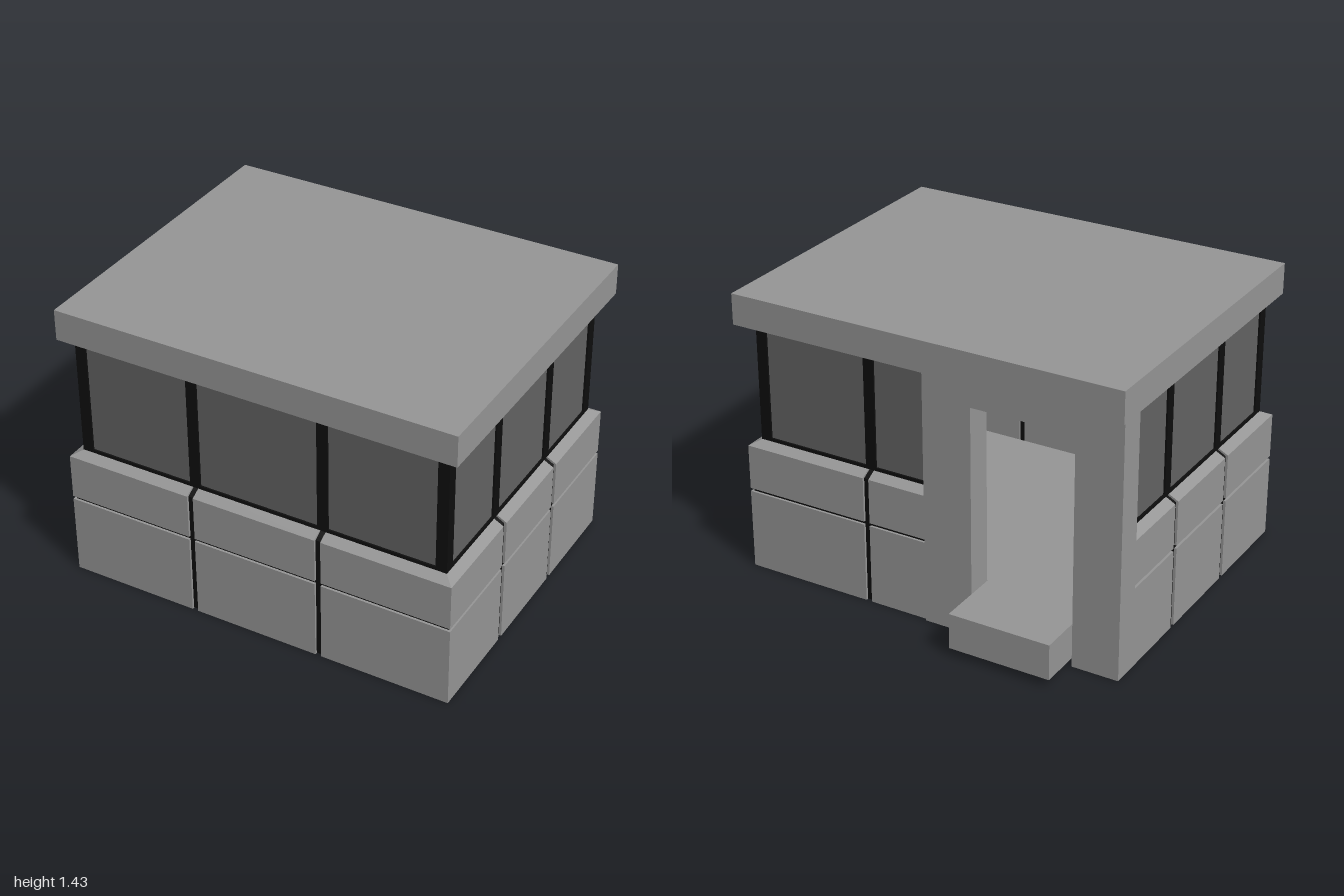
import * as THREE from 'three';

const wallMat = new THREE.MeshStandardMaterial({ color: 0x969696 });
wallMat.name = 'concrete grey';
const glassMat = new THREE.MeshStandardMaterial({ color: 0x636363 });
glassMat.name = 'tinted glass';
const blackMat = new THREE.MeshStandardMaterial({ color: 0x0e0e0e });
blackMat.name = 'black trim';

// Straight wall piece: convex profile of [inset, y] swept from u = a to u = b.
// ma / mb = 1 mitres that end at 45 degrees.
function prism(profile, outer, a, b, ma = 0, mb = 0) {
  const A = profile.map(([d, y]) => [a + ma * d, y, outer - d]);
  const B = profile.map(([d, y]) => [b - mb * d, y, outer - d]);
  const pos = [];
  const tri = (...pts) => pts.forEach((p) => pos.push(...p));
  const n = profile.length;
  for (let i = 0; i < n; i++) {
    const j = (i + 1) % n;
    tri(A[i], A[j], B[j]);
    tri(A[i], B[j], B[i]);
    if (i > 0 && i < n - 1) {
      tri(B[0], B[i], B[j]);
      tri(A[0], A[j], A[i]);
    }
  }
  const g = new THREE.BufferGeometry();
  g.setAttribute('position', new THREE.Float32BufferAttribute(pos, 3));
  g.computeVertexNormals();
  return g;
}

const rect = (d0, d1, y0, y1) => [[d0, y0], [d1, y0], [d1, y1], [d0, y1]];

function add(parent, name, geometry, material) {
  const mesh = new THREE.Mesh(geometry, material);
  mesh.name = name;
  parent.add(mesh);
}

function addBox(parent, name, material, x0, x1, y0, y1, z0, z1) {
  const g = new THREE.BoxGeometry(x1 - x0, y1 - y0, z1 - z0);
  g.translate((x0 + x1) / 2, (y0 + y1) / 2, (z0 + z1) / 2);
  add(parent, name, g, material);
}

const LOWER = rect(0, 0.125, 0, 0.402);
const UPPER = [[0, 0.418], [0.125, 0.418], [0.125, 0.67], [0.05, 0.67], [0, 0.643]];
const CORE = [[0.012, 0.002], [0.113, 0.002], [0.113, 0.665], [0.06, 0.665], [0.012, 0.638]];
const GAP = 0.015; // half width of a vertical joint
const MULLION = 0.027; // half width of a window post

// One side: panelled base with dark joints, and a window band above
function buildWall({ name, angle, outer, u0, u1, m0, m1, joints }) {
  const wall = new THREE.Group();
  wall.name = name;
  wall.rotation.y = angle;

  add(wall, 'jointCore', prism(CORE, outer, u0, u1, m0, m1), blackMat);
  const edges = [u0, ...joints, u1];
  for (let i = 0; i < edges.length - 1; i++) {
    const first = i === 0;
    const last = i === edges.length - 2;
    const a = edges[i] + (first ? 0 : GAP);
    const b = edges[i + 1] - (last ? 0 : GAP);
    const ma = first ? m0 : 0;
    const mb = last ? m1 : 0;
    add(wall, 'lowerPanel', prism(LOWER, outer, a, b, ma, mb), wallMat);
    add(wall, 'upperPanel', prism(UPPER, outer, a, b, ma, mb), wallMat);
  }

  // Window band
  const D0 = 0.047, D1 = 0.1;
  add(wall, 'windowGlass', prism(rect(0.056, 0.09, 0.672, 1.25), outer, u0, u1, m0, m1), glassMat);
  add(wall, 'bottomRail', prism(rect(D0, D1, 0.67, 0.686), outer, u0, u1, m0, m1), blackMat);
  add(wall, 'topRail', prism(rect(D0, D1, 1.237, 1.276), outer, u0, u1, m0, m1), blackMat);
  const post = rect(D0, D1, 0.68, 1.24);
  for (const u of joints) {
    add(wall, 'mullion', prism(post, outer, u - MULLION, u + MULLION), blackMat);
  }
  add(wall, 'endPost', prism(post, outer, u0, u0 + (m0 ? 0.102 : 0.03), m0, 0), blackMat);
  add(wall, 'endPost', prism(post, outer, u1 - (m1 ? 0.102 : 0.03), u1, 0, m1), blackMat);
  return wall;
}

export function createModel() {
  const booth = new THREE.Group();
  booth.name = 'booth';

  const X = 0.988, FRONT = 0.875, BACK = 0.67, DOOR_IN = -0.545;
  const walls = [
    { name: 'frontWall', angle: 0, outer: FRONT, u0: -X, u1: X, m0: 1, m1: 1, joints: [-0.33, 0.33] },
    { name: 'leftWall', angle: Math.PI / 2, outer: X, u0: -FRONT, u1: BACK, m0: 1, m1: 1, joints: [-0.36, 0.155] },
    { name: 'backWall', angle: Math.PI, outer: BACK, u0: -X, u1: -0.01, m0: 1, m1: 0, joints: [-0.33] },
    { name: 'rightWall', angle: -Math.PI / 2, outer: X, u0: DOOR_IN, u1: FRONT, m0: 0, m1: 1, joints: [-0.155, 0.36] },
  ];
  walls.forEach((w) => booth.add(buildWall(w)));

  // Door surround at the back right corner, open at the bottom
  const frame = new THREE.Shape();
  [[-X, 0], [-0.755, 0], [-0.755, 1.15], [-0.237, 1.15], [-0.237, 0], [0.01, 0], [0.01, 1.276], [-X, 1.276]]
    .forEach(([x, y], i) => (i ? frame.lineTo(x, y) : frame.moveTo(x, y)));
  const frameGeo = new THREE.ExtrudeGeometry(frame, { depth: 0.137, bevelEnabled: false });
  frameGeo.translate(0, 0, -0.682);
  add(booth, 'doorFrame', frameGeo, wallMat);

  // Floor slab that runs out through the doorway as a step
  const slab = new THREE.Shape();
  [[-0.863, -0.75], [0.863, -0.75], [0.863, 0.545], [-0.24, 0.545], [-0.24, 0.882], [-0.752, 0.882], [-0.752, 0.545], [-0.863, 0.545]]
    .forEach(([x, y], i) => (i ? slab.lineTo(x, y) : slab.moveTo(x, y)));
  const slabGeo = new THREE.ExtrudeGeometry(slab, { depth: 0.178, bevelEnabled: false });
  slabGeo.rotateX(-Math.PI / 2);
  slabGeo.translate(0, 0.04, 0);
  add(booth, 'floorAndStep', slabGeo, wallMat);

  addBox(booth, 'roof', wallMat, -1, 1, 1.275, 1.428, -0.713, 0.882);
  return booth;
}
